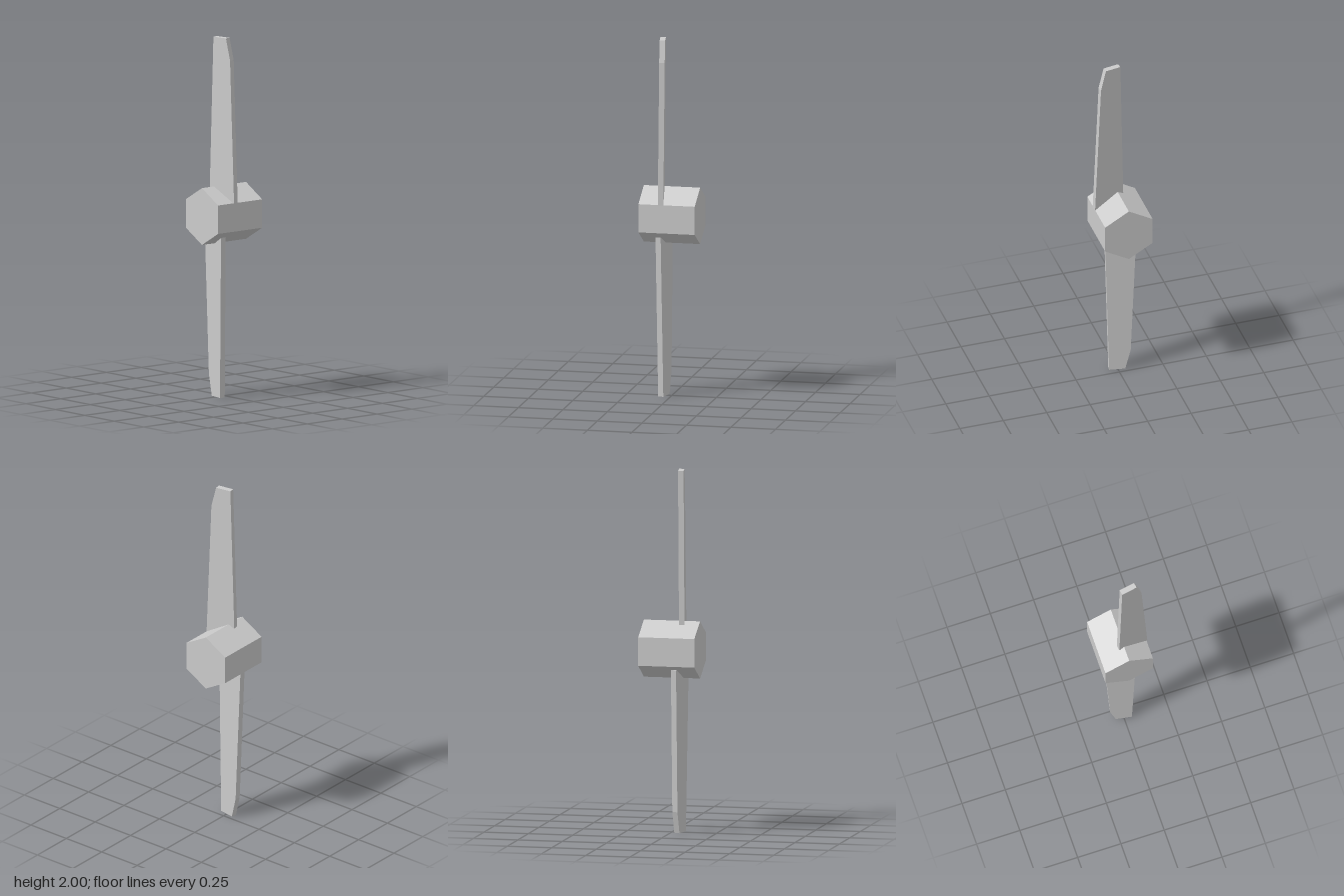
import * as THREE from 'three';

const material = new THREE.MeshStandardMaterial({ color: 0xcccccc, flatShading: true });

// Tapered blade with a clipped leading tip; outline points are [z, y]
function bladeGeometry() {
  const outline = [[0.139, 1.09], [0.105, 1.88], [0.075, 2], [-0.013, 2], [-0.034, 1.09]];
  const shape = new THREE.Shape(outline.map(([z, y]) => new THREE.Vector2(-z, y)));
  const geometry = new THREE.ExtrudeGeometry(shape, { depth: 0.03, bevelEnabled: false });
  geometry.rotateY(Math.PI / 2);
  // Pitch the blade about its length and lean it slightly
  const p = geometry.attributes.position;
  for (let i = 0; i < p.count; i++) {
    const t = p.getX(i), y = p.getY(i), z = p.getZ(i);
    p.setX(i, t - 0.072 + 0.174 * z + 0.0075 * (y - 1.09));
    p.setZ(i, z - 0.15 * t);
  }
  geometry.computeVertexNormals();
  return geometry;
}

export function createModel() {
  const model = new THREE.Group();
  model.name = 'propeller';

  // Hexagonal hub lying along x, with one corner up
  const hubGeometry = new THREE.CylinderGeometry(0.158, 0.158, 0.316, 6);
  hubGeometry.rotateZ(Math.PI / 2);
  const hub = new THREE.Mesh(hubGeometry, material);
  hub.name = 'hub';
  hub.position.set(0, 1.012, -0.003);
  // Put a corner straight up
  hubGeometry.computeBoundingBox();
  if (hubGeometry.boundingBox.max.y < 0.15) hubGeometry.rotateX(Math.PI / 6);
  model.add(hub);

  // Two blades, the lower one turned half a revolution about the hub axis
  const geometry = bladeGeometry();
  ['upperBlade', 'lowerBlade'].forEach((name, i) => {
    const blade = new THREE.Mesh(geometry, material);
    blade.name = name;
    if (i === 1) {
      blade.rotation.x = Math.PI;
      blade.position.set(0, 2, 0.03);
    }
    model.add(blade);
  });
  return model;
}
